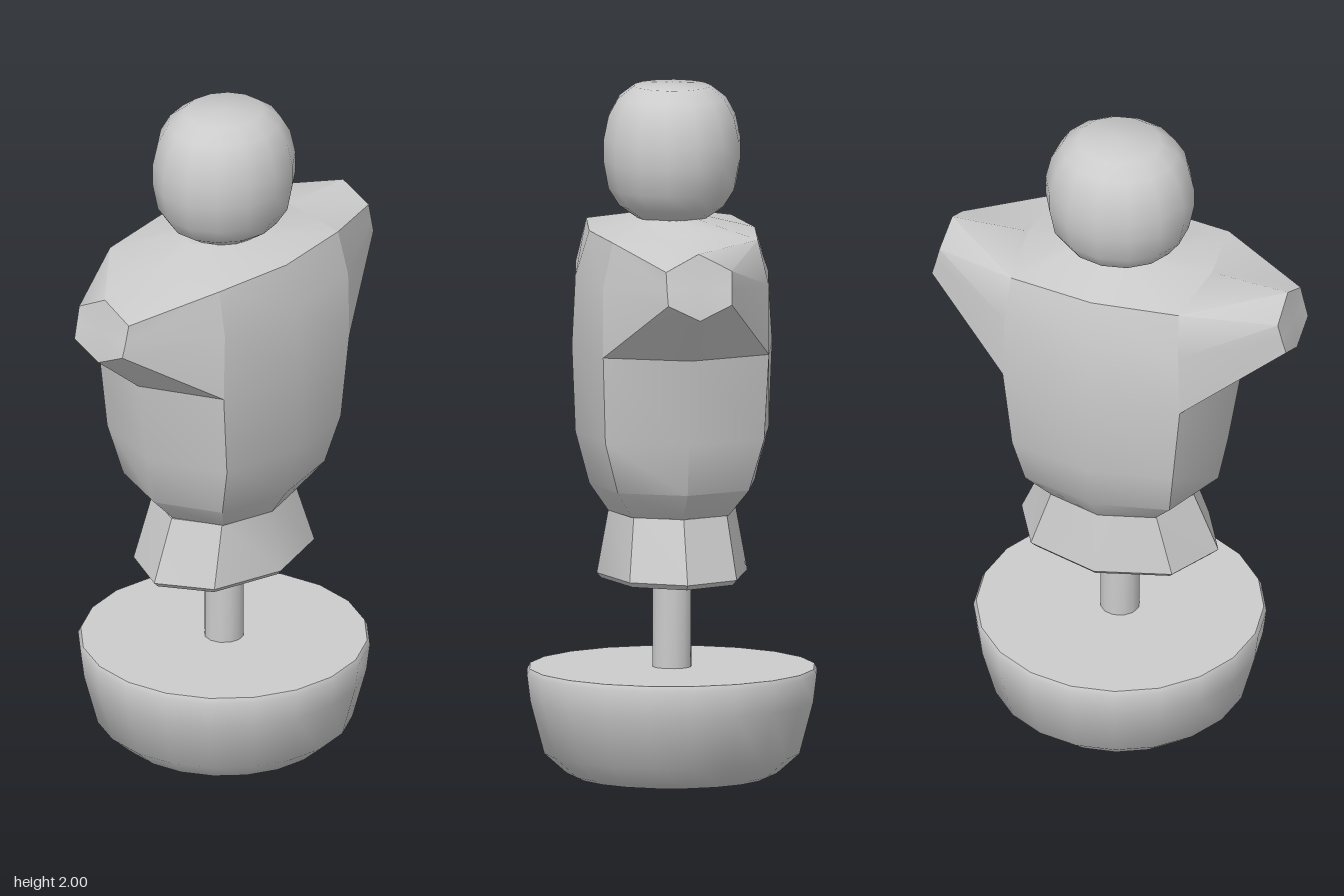
import * as THREE from 'three';
import { toCreasedNormals } from 'three/addons/utils/BufferGeometryUtils.js';

const material = new THREE.MeshStandardMaterial({ color: 0xcccccc, side: THREE.DoubleSide });

function addPart(group, name, geometry, crease = 0.75) {
  const mesh = new THREE.Mesh(toCreasedNormals(geometry, crease), material);
  mesh.name = name;
  group.add(mesh);
  return mesh;
}

function lathe(profile, sides) {
  return new THREE.LatheGeometry(profile.map(([r, y]) => new THREE.Vector2(r, y)), sides);
}

// Eight-point cross-section: side point, diagonal corner and front point, mirrored
function ring([y, rx, cx, cz, rz, sideY = y]) {
  return [
    [rx, sideY, 0], [cx, y, cz], [0, y, rz], [-cx, y, cz],
    [-rx, sideY, 0], [-cx, y, -cz], [0, y, -rz], [cx, y, -cz],
  ];
}

function triangles(list) {
  const geometry = new THREE.BufferGeometry();
  geometry.setAttribute('position', new THREE.Float32BufferAttribute(list.flat(), 3));
  return geometry;
}

// Skin between two loops that have the same number of points
function bridge(out, a, b, skip = () => false) {
  a.forEach((p, i) => {
    if (skip(i)) return;
    const j = (i + 1) % a.length;
    out.push(p, b[j], a[j], p, b[i], b[j]);
  });
}

function cap(out, loop, up) {
  const c = [0, 1, 2].map(k => loop.reduce((s, p) => s + p[k], 0) / loop.length);
  loop.forEach((p, i) => {
    const q = loop[(i + 1) % loop.length];
    if (up) out.push(c, p, q); else out.push(c, q, p);
  });
}

function loft(sections) {
  const rings = sections.map(ring), out = [];
  for (let i = 0; i + 1 < rings.length; i++) bridge(out, rings[i], rings[i + 1]);
  cap(out, rings[0], false);
  cap(out, rings[rings.length - 1], true);
  return triangles(out);
}

// Torso with an open armhole on each side, filled by a short tapering arm stump
function torsoGeometry() {
  const rings = [
    [0.77, 0.22, 0.16, 0.14, 0.185],
    [0.85, 0.3, 0.22, 0.19, 0.24],
    [1.0, 0.33, 0.245, 0.23, 0.28],
    [1.25, 0.37, 0.27, 0.24, 0.29],
    [1.45, 0.33, 0.265, 0.24, 0.28],
    [1.58, 0.28, 0.255, 0.21, 0.24, 1.59],
    [1.62, 0.14, 0.1, 0.06, 0.08],
  ].map(ring);
  const out = [];
  for (let i = 0; i + 1 < rings.length; i++) {
    const armhole = i === 3 || i === 4;
    bridge(out, rings[i], rings[i + 1], k => armhole && [0, 3, 4, 7].includes(k));
  }
  cap(out, rings[0], false);
  cap(out, rings[6], true);

  const [low, mid, top] = [rings[3], rings[4], rings[5]];
  const hole = [low[0], low[1], mid[1], top[1], top[0], top[7], mid[7], low[7]];
  const end = [
    [0.54, 1.39, 0], [0.54, 1.435, 0.092], [0.528, 1.48, 0.094], [0.516, 1.53, 0.095],
    [0.512, 1.58, 0], [0.516, 1.53, -0.095], [0.528, 1.48, -0.094], [0.54, 1.435, -0.092],
  ];
  const arm = [];
  bridge(arm, end, hole);
  cap(arm, end, false);
  // Mirroring x reverses each triangle, so the last two corners swap
  const flip = p => [-p[0], p[1], p[2]];
  for (let i = 0; i < arm.length; i += 3) {
    const [a, b, c] = arm.slice(i, i + 3);
    out.push(a, b, c, flip(a), flip(c), flip(b));
  }
  return triangles(out);
}

export function createModel() {
  const model = new THREE.Group();
  model.name = 'trainingDummy';

  // Rounded, weighted foot
  addPart(model, 'base', lathe([
    [0, 0], [0.28, 0], [0.305, 0.012], [0.37, 0.07], [0.41, 0.22],
    [0.42, 0.3], [0.412, 0.315], [0, 0.315],
  ], 20));

  // Post
  const post = addPart(model, 'post', new THREE.CylinderGeometry(0.057, 0.057, 0.34, 12));
  post.position.y = 0.45;

  // Flared hem below the waist
  addPart(model, 'hem', loft([
    [0.575, 0.285, 0.205, 0.145, 0.205],
    [0.59, 0.3, 0.215, 0.155, 0.218],
    [0.77, 0.225, 0.16, 0.135, 0.185],
  ]), 0.6);

  addPart(model, 'torso', torsoGeometry(), 0.8);

  // Head, slightly wider than deep
  const head = addPart(model, 'head', lathe([
    [0, 1.61], [0.11, 1.615], [0.165, 1.65], [0.2, 1.7], [0.216, 1.78], [0.216, 1.84],
    [0.2, 1.91], [0.17, 1.96], [0.12, 1.995], [0, 2],
  ], 14), 1.0);
  head.scale.z = 0.92;

  return model;
}
